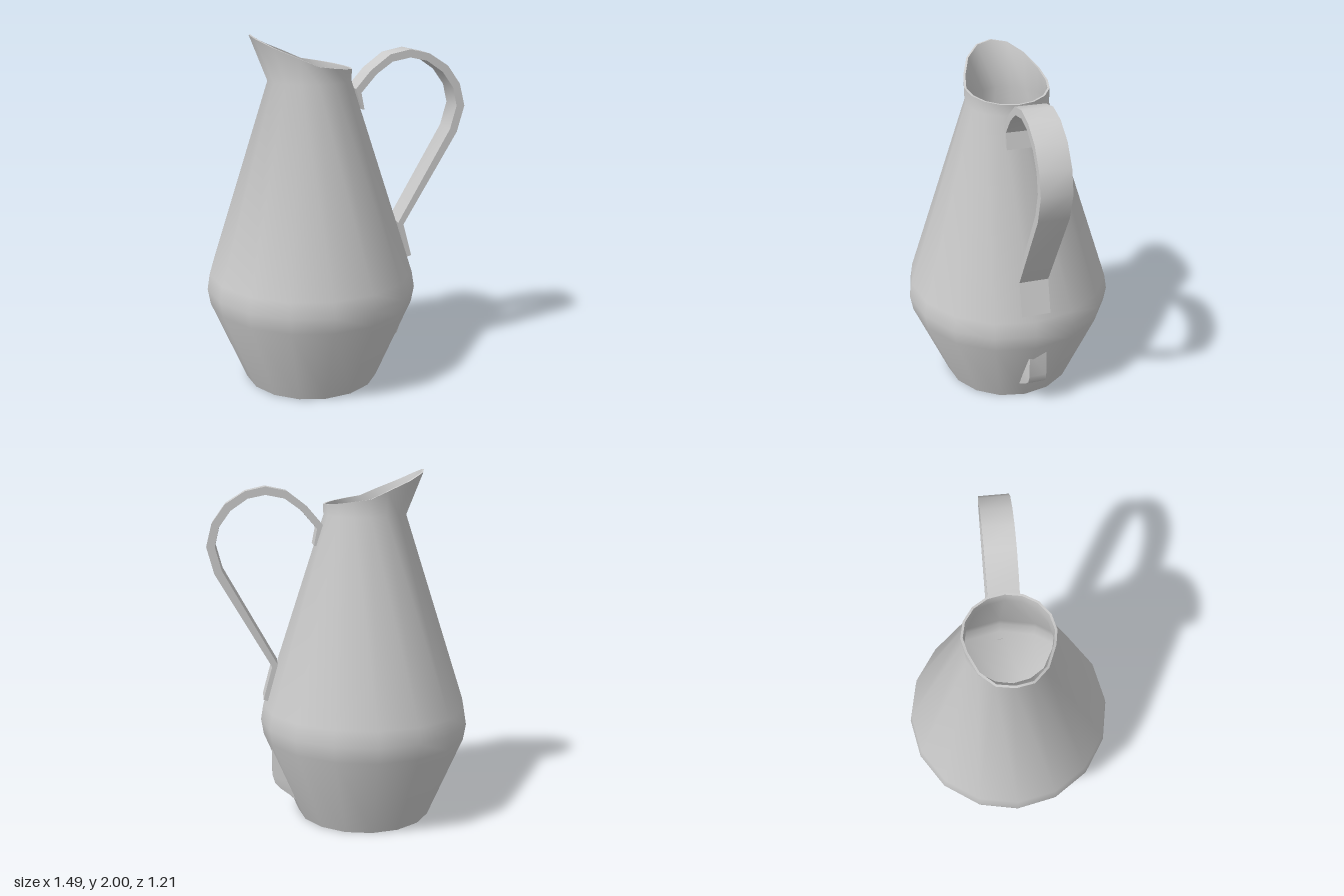
import * as THREE from 'three';
import { toCreasedNormals } from 'three/addons/utils/BufferGeometryUtils.js';

const AXIS_X = -0.145; // the jug body sits left of centre to balance the handle
const RIM_Y = 1.84;

function createMaterial() {
  return new THREE.MeshStandardMaterial({ color: 0xcccccc, side: THREE.DoubleSide });
}

// Hollow 16-sided body; the rim ring is pulled out and up into a spout on -x
function bodyGeometry() {
  const profile = [
    [0, 0], [0.39, 0], [0.59, 0.48], [0.605, 0.57], [0.59, 0.66], [0.235, 1.75], [0.237, RIM_Y],
    [0.225, RIM_Y], [0.222, 1.75], [0.575, 0.66], [0.59, 0.57], [0.575, 0.48], [0.383, 0.02], [0, 0.02],
  ].map(([r, y]) => new THREE.Vector2(r, y));
  const geometry = new THREE.LatheGeometry(profile, 16);
  const p = geometry.attributes.position;
  for (let i = 0; i < p.count; i++) {
    if (p.getY(i) < RIM_Y - 0.01) continue;
    const x = p.getX(i);
    const t = -x / Math.hypot(x, p.getZ(i)); // 1 at the spout, -1 at the handle
    p.setX(i, x - 0.095 * THREE.MathUtils.smoothstep(t, 0.3, 1));
    p.setY(i, t > 0 ? 1.845 + 0.155 * Math.pow(t, 1.4) : 1.845 + 0.035 * t);
  }
  return toCreasedNormals(geometry, THREE.MathUtils.degToRad(50));
}

// Flat strap: an outline in x and y, extruded across z
function handleGeometry() {
  const outer = [
    [0.155, 1.59], [0.11, 1.695], [0.185, 1.8], [0.296, 1.885], [0.413, 1.91], [0.525, 1.885],
    [0.635, 1.815], [0.71, 1.71], [0.742, 1.585], [0.702, 1.435], [0.392, 0.9], [0.444, 0.715],
  ];
  // The attached ends lie along the body wall
  outer[0] = [0.15, 1.585];
  outer[1] = [0.1, 1.7];
  const inner = [
    [0.115, 1.575], [0.132, 1.678], [0.22, 1.78], [0.31, 1.845], [0.413, 1.865], [0.51, 1.845],
    [0.605, 1.78], [0.67, 1.69], [0.695, 1.585], [0.66, 1.452], [0.358, 0.912], [0.42, 0.7],
  ];
  const outline = [
    [0.15, 1.585], [0.132, 1.678], ...inner.slice(2, 10), [0.36, 0.912], [0.42, 0.7],
    [0.444, 0.708], [0.392, 0.9], ...outer.slice(2, 10).reverse(), [0.1, 1.7], [0.137, 1.585],
  ];
  const shape = new THREE.Shape(outline.map(([x, y]) => new THREE.Vector2(x, y)));
  const geometry = new THREE.ExtrudeGeometry(shape, { depth: 0.165, bevelEnabled: false });
  geometry.translate(0, 0, -0.083);
  return toCreasedNormals(geometry, THREE.MathUtils.degToRad(35));
}

// Small wedge low on the wall: each row is [y, outer x, outer half width, base half width]
function lugGeometry() {
  const rows = [
    [0.11, 0.275, 0.083, 0.088], [0.13, 0.298, 0.074, 0.085], [0.165, 0.35, 0.058, 0.081],
    [0.2, 0.385, 0.053, 0.078], [0.25, 0.4, 0.051, 0.073], [0.42, 0.4, 0.05, 0.057],
  ];
  const positions = [];
  const index = [];
  rows.forEach(([y, x, outer, base], row) => {
    const wallX = 0.225 + y * 0.4;
    const baseX = Math.min(wallX, x - 0.005);
    positions.push(baseX, y, base, x, y, outer, x, y, -outer, baseX, y, -base);
    if (row === 0) return;
    for (let i = 0; i < 3; i++) {
      const a = (row - 1) * 4 + i;
      index.push(a, a + 1, a + 4, a + 1, a + 5, a + 4);
    }
  });
  const geometry = new THREE.BufferGeometry();
  geometry.setAttribute('position', new THREE.Float32BufferAttribute(positions, 3));
  geometry.setIndex(index);
  geometry.translate(0, 0, -0.03);
  return toCreasedNormals(geometry, THREE.MathUtils.degToRad(40));
}

export function createModel() {
  const model = new THREE.Group();
  model.name = 'jug';
  const material = createMaterial();
  const add = (name, geometry, x = 0) => {
    const mesh = new THREE.Mesh(geometry, material);
    mesh.name = name;
    mesh.position.x = x;
    model.add(mesh);
  };
  add('body', bodyGeometry(), AXIS_X);
  add('handle', handleGeometry());
  add('lowerLug', lugGeometry());
  return model;
}
